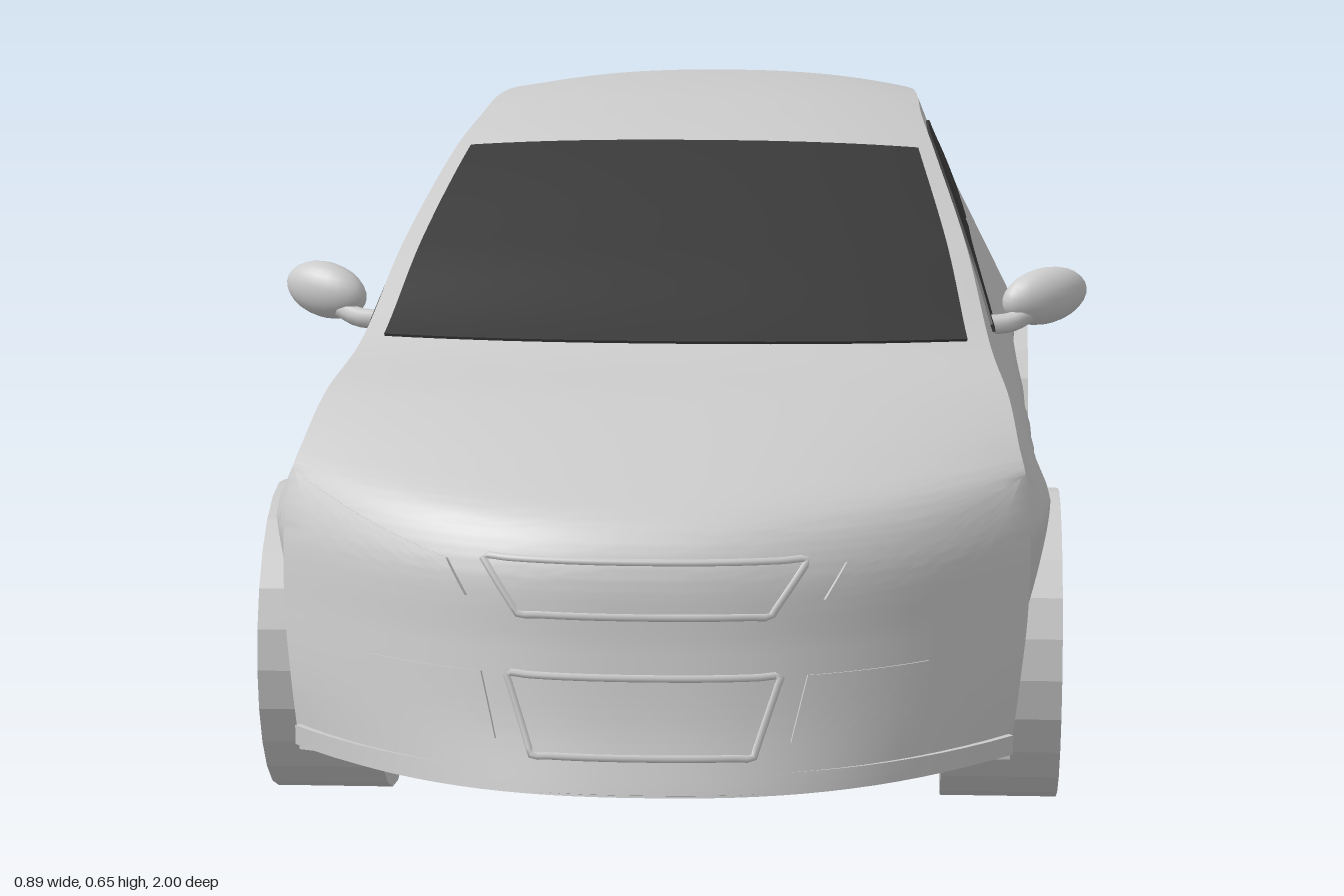
import * as THREE from 'three';
import { toCreasedNormals } from 'three/addons/utils/BufferGeometryUtils.js';

const V = (x, y, z) => new THREE.Vector3(x, y, z);
const mix = THREE.MathUtils.lerp;
const paint = new THREE.MeshStandardMaterial({ color: 0xcccccc });
const glass = new THREE.MeshStandardMaterial({ color: 0x3a3a3a });
const red = new THREE.MeshStandardMaterial({ color: 0xcc5a5a });

// Stations from the front lip over the roof to the rear lip: centre y, z, then shoulder x, y, z
const stations = [
  [0.11, 1.0, 0.352, 0.105, 0.815], [0.17, 0.98, 0.36, 0.17, 0.808], [0.24, 0.965, 0.368, 0.24, 0.79],
  [0.32, 0.95, 0.37, 0.32, 0.77], [0.36, 0.92, 0.366, 0.367, 0.74], [0.395, 0.83, 0.36, 0.39, 0.7],
  [0.43, 0.68, 0.352, 0.42, 0.6], [0.452, 0.5, 0.335, 0.448, 0.44], [0.53, 0.32, 0.312, 0.525, 0.27],
  [0.615, 0.1, 0.278, 0.602, 0.06], [0.643, -0.1, 0.262, 0.626, -0.12], [0.647, -0.25, 0.258, 0.63, -0.27],
  [0.634, -0.5, 0.25, 0.615, -0.5], [0.602, -0.75, 0.24, 0.588, -0.68], [0.55, -0.83, 0.266, 0.53, -0.74],
  [0.465, -0.92, 0.306, 0.45, -0.78], [0.4, -0.953, 0.335, 0.39, -0.8], [0.31, -0.962, 0.348, 0.31, -0.817],
  [0.245, -0.995, 0.345, 0.24, -0.83], [0.18, -0.985, 0.34, 0.18, -0.838], [0.115, -0.95, 0.33, 0.115, -0.846],
];
const last = stations.length - 1;
const centre = new THREE.CatmullRomCurve3(stations.map(s => V(0, s[0], s[1])));
const shoulder = new THREE.CatmullRomCurve3(stations.map(s => V(s[2], s[3], s[4])));
const C = u => centre.getPoint(u / last);
const S = u => shoulder.getPoint(u / last);

const floorY = 0.1, wheelZ = [0.58, -0.62], archR = 0.175, archY = 0.15, wellX = 0.28;

// Finds u where a monotonic function reaches a value
function solve(f, value, lo, hi) {
  const rising = f(hi) > f(lo);
  for (let i = 0; i < 32; i++) {
    const mid = (lo + hi) / 2;
    if ((f(mid) < value) === rising) lo = mid; else hi = mid;
  }
  return (lo + hi) / 2;
}

// Upper skin: nose, bonnet, windscreen, roof and tail; t runs from -1 to 1 across
function topPoint(u, t) {
  const c = C(u), s = S(u), k = Math.abs(t) ** 2.4;
  return V(s.x * t, mix(c.y, s.y, k), mix(c.z, s.z, k));
}

// Flanks: widest at the waist, flared over the wheels, tucked in above and below
function flank(y, z) {
  const a = Math.abs(z);
  const w = 0.38 - 0.9 * Math.max(0, a - 0.62) ** 2 + 0.014 * Math.exp(-(((a - 0.6) / 0.15) ** 2));
  return y > 0.32 ? w - 0.44 * (y - 0.32) : w - 0.035 * ((0.32 - y) / 0.22) ** 1.5;
}
function sidePoint(u, y) {
  const s = S(u), v = Math.min(1, Math.max(0, (s.y - y) / (s.y - floorY + 1e-6)));
  return V(flank(y, s.z) + (s.x - flank(s.y, s.z)) * (1 - v) ** 2, y, s.z);
}
const atZ = z => solve(u => S(u).z, z, 0, last);
const sideAt = (z, y) => sidePoint(atZ(z), y);
function faceAt(x, y, lo, hi) {
  const u = solve(k => C(k).y, y, lo, hi);
  return topPoint(u, Math.max(-1, Math.min(1, x / S(u).x)));
}
const frontAt = (x, y) => faceAt(x, y, 0, 4.4);
const rearAt = (x, y) => faceAt(x, y, 13, last);

function skin(rows, crease = 0.7) {
  const n = rows[0].length, index = [];
  for (let i = 0; i < rows.length - 1; i++) for (let j = 0; j < n - 1; j++) {
    const a = i * n + j, d = a + n;
    index.push(a, a + 1, d + 1, a, d + 1, d);
  }
  const g = new THREE.BufferGeometry().setFromPoints(rows.flat());
  g.setIndex(index);
  return toCreasedNormals(g, crease);
}

// Body shell with wheel wells and floor
function bodyGeometry() {
  const us = [];
  for (let u = 0; u <= last * 10; u++) us.push(u / 10);
  for (const z of wheelZ) {
    for (let i = 0; i <= 18; i++) us.push(atZ(z + archR * 0.9999 * Math.cos(i * Math.PI / 18)));
    us.push(atZ(z + archR + 0.001), atZ(z - archR - 0.001));
  }
  us.sort((a, b) => a - b);
  const ring = half => [...half, ...half.map(p => V(-p.x, p.y, p.z)).reverse()];
  const rows = us.map(u => {
    const s = S(u), half = [];
    let low = floorY;
    for (const z of wheelZ) {
      const d = archR ** 2 - (s.z - z) ** 2;
      if (d > 0) low = archY + Math.sqrt(d);
    }
    for (let j = 0; j <= 16; j++) half.push(topPoint(u, j / 16));
    for (let j = 1; j <= 14; j++) half.push(sidePoint(u, mix(s.y, low, j / 14)));
    half.push(V(wellX, low, s.z), V(wellX, floorY, s.z), V(0, floorY, s.z));
    return ring(half);
  });
  // Close the underside of both bumpers back to the floor
  const chord = u => ring(Array.from({ length: 34 }, (_, j) => {
    const s = S(u), t = j <= 16 ? j / 16 : j <= 30 ? 1 : 0;
    return V(s.x * t, floorY, s.z);
  }));
  return skin([chord(0), ...rows, chord(last)]);
}

// Thin panel following the body; f(a, b) lies on the skin and the rim sinks into it
function panel(f, offset = 0.004, n = 14, m = 18) {
  const rows = [], e = 0.01, cl = x => Math.min(1, Math.max(0, x));
  for (let i = -1; i <= n + 1; i++) {
    const row = [];
    for (let j = -1; j <= m + 1; j++) {
      const a = cl(i / n), b = cl(j / m);
      const da = f(cl(a + e), b).sub(f(cl(a - e), b));
      const db = f(a, cl(b + e)).sub(f(a, cl(b - e)));
      const rim = i < 0 || j < 0 || i > n || j > m;
      row.push(f(a, b).addScaledVector(db.cross(da).normalize(), rim ? -0.004 : offset));
    }
    rows.push(row);
  }
  return skin(rows);
}
// Bilinear patch from four [x, y] corners
const quad = (at, p, q, r, s) => (a, b) => at(
  mix(mix(p[0], q[0], b), mix(r[0], s[0], b), a), mix(mix(p[1], q[1], b), mix(r[1], s[1], b), a));

// Raised border around a patch
function frame(f) {
  const pts = [], n = 12;
  for (let i = 0; i < n; i++) pts.push(f(0, i / n));
  for (let i = 0; i < n; i++) pts.push(f(i / n, 1));
  for (let i = 0; i < n; i++) pts.push(f(1, 1 - i / n));
  for (let i = 0; i < n; i++) pts.push(f(1 - i / n, 0));
  return new THREE.TubeGeometry(new THREE.CatmullRomCurve3(pts, true), 96, 0.004, 6, true);
}

function along(table, z) {
  let i = 1;
  while (i < table.length - 1 && z < table[i][0]) i++;
  const [p, q] = [table[i - 1], table[i]];
  return mix(p[1], q[1], (z - p[0]) / (q[0] - p[0]));
}
const sideWindow = (top, bottom) => (a, b) => {
  const z = mix(top[0][0], top[top.length - 1][0], a);
  return sideAt(z, mix(along(top, z), along(bottom, z), b));
};

export function createModel() {
  const car = new THREE.Group();
  const add = (name, geo, mat = paint) => {
    const mesh = new THREE.Mesh(geo, mat);
    mesh.name = name;
    car.add(mesh);
    return mesh;
  };
  const pair = (name, geo, mat) => {
    add(name + 'Left', geo, mat);
    add(name + 'Right', geo, mat).scale.x = -1;
  };

  add('body', bodyGeometry());

  // Glass
  add('windscreen', panel((a, b) => topPoint(mix(7.05, 9.05, a), (2 * b - 1) * 0.93), 0.003, 20, 24), glass);
  add('rearWindow', panel((a, b) =>
    topPoint(mix(13.1, 15.05, a), (2 * b - 1) * (0.98 - 0.4 * a ** 4)), 0.003, 20, 24), glass);
  pair('frontSideWindow', panel(sideWindow(
    [[0.33, 0.45], [0.25, 0.505], [0.1, 0.578], [-0.03, 0.602], [-0.21, 0.608]],
    [[0.33, 0.442], [-0.21, 0.478]]), 0.003, 22, 8), glass);
  pair('rearSideWindow', panel(sideWindow(
    [[-0.255, 0.6], [-0.4, 0.585], [-0.53, 0.558]],
    [[-0.255, 0.482], [-0.4, 0.5], [-0.53, 0.552]]), 0.003, 16, 8), glass);

  // Lamps
  pair('headlamp', panel(quad(frontAt, [0.17, 0.288], [0.315, 0.298], [0.19, 0.32], [0.358, 0.36]), 0.005));
  pair('tailLamp', panel((a, b) => topPoint(
    mix(mix(15.75, 15.35, b), mix(16.3, 16.05, b), a), mix(0.6, 1, b)), 0.004), red);

  // Front bumper
  const grille = quad(frontAt, [-0.12, 0.275], [0.12, 0.275], [-0.155, 0.325], [0.155, 0.325]);
  const intake = quad(frontAt, [-0.105, 0.145], [0.105, 0.145], [-0.13, 0.218], [0.13, 0.218]);
  add('grille', panel(grille, 0.002));
  add('grilleFrame', frame(grille));
  add('lowerIntake', panel(intake, 0.002));
  add('lowerIntakeFrame', frame(intake));
  pair('fogIntake', panel(quad(frontAt, [0.14, 0.157], [0.25, 0.17], [0.155, 0.218], [0.27, 0.218]), 0.003));
  add('frontLip', panel(quad(frontAt, [-0.35, 0.112], [0.35, 0.112], [-0.35, 0.13], [0.35, 0.13]), 0.006, 4, 30));

  // Rear bumper
  add('rearPlateRecess', panel(quad(rearAt, [-0.14, 0.225], [0.14, 0.225], [-0.12, 0.17], [0.12, 0.17]), 0.003));
  pair('rearReflector', panel(quad(rearAt, [0.24, 0.215], [0.3, 0.215], [0.24, 0.185], [0.3, 0.185]), 0.008));

  // Door mirrors
  const shell = new THREE.SphereGeometry(1, 20, 14);
  shell.scale(0.052, 0.031, 0.026).rotateZ(0.15).rotateY(0.5).translate(0.398, 0.472, 0.265);
  pair('mirror', shell);
  const arm = new THREE.CatmullRomCurve3([V(0.33, 0.445, 0.3), V(0.36, 0.447, 0.295), V(0.39, 0.46, 0.275)]);
  pair('mirrorArm', new THREE.TubeGeometry(arm, 8, 0.011, 8));

  // Wheels
  for (const z of wheelZ) {
    const wheel = new THREE.CylinderGeometry(0.16, 0.16, 0.12, 24);
    wheel.rotateZ(Math.PI / 2).translate(0.345, 0.16, z);
    pair(z > 0 ? 'frontWheel' : 'rearWheel', toCreasedNormals(wheel, 0.1));
  }
  return car;
}
